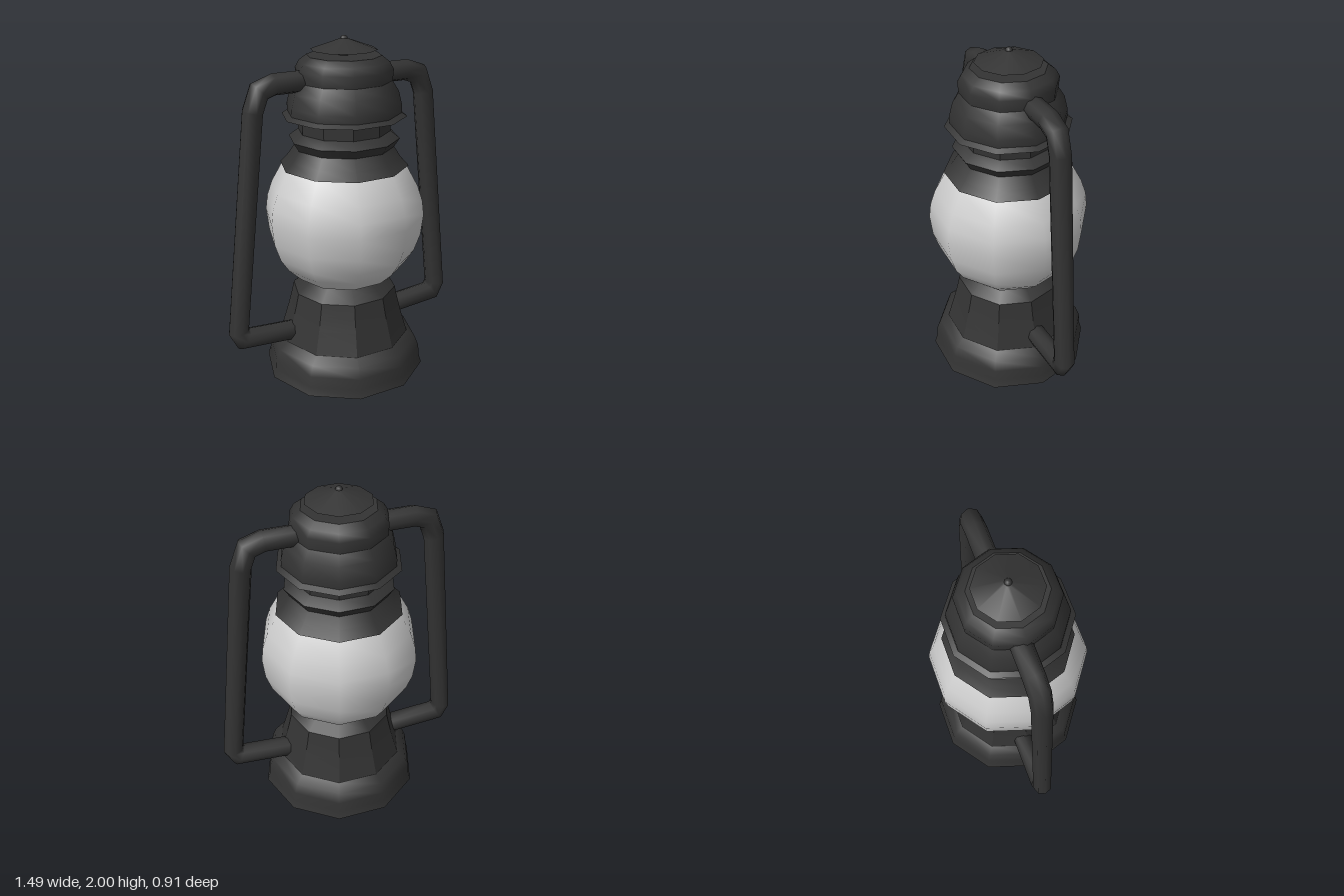
import * as THREE from 'three';
import { toCreasedNormals } from 'three/addons/utils/BufferGeometryUtils.js';

const SIDES = 10;
const metal = new THREE.MeshStandardMaterial({ color: 0x333333, side: THREE.DoubleSide });
const glass = new THREE.MeshStandardMaterial({ color: 0xcccccc, side: THREE.DoubleSide });

// Ten-sided turned surface from [radius, y] points listed bottom to top
function turned(name, points, { material = metal, faceted = false } = {}) {
  const profile = points.map(([r, y]) => new THREE.Vector2(r, y));
  let geometry = new THREE.LatheGeometry(profile, SIDES, Math.PI / 2);
  if (faceted) geometry = toCreasedNormals(geometry, 0.5);
  const mesh = new THREE.Mesh(geometry, material);
  mesh.name = name;
  return mesh;
}

// Straight-segment tube with mitred joints, lying in the xy plane
function mitredTube(path, radius, sides) {
  const pts = path.map(([x, y]) => new THREE.Vector2(x, y));
  const positions = [], index = [];
  pts.forEach((p, i) => {
    const before = pts[Math.max(i - 1, 0)], after = pts[Math.min(i + 1, pts.length - 1)];
    const a = (i ? p.clone().sub(before) : after.clone().sub(p)).normalize();
    const b = (i < pts.length - 1 ? after.clone().sub(p) : a.clone()).normalize();
    const t = a.clone().add(b).normalize();
    const stretch = radius / t.dot(a);
    for (let j = 0; j < sides; j++) {
      const angle = (j / sides) * Math.PI * 2;
      const u = Math.cos(angle) * stretch;
      positions.push(p.x - t.y * u, p.y + t.x * u, Math.sin(angle) * radius);
      if (i) {
        const k = (j + 1) % sides, lo = (i - 1) * sides, hi = i * sides;
        index.push(lo + j, lo + k, hi + j, lo + k, hi + k, hi + j);
      }
    }
  });
  const geometry = new THREE.BufferGeometry();
  geometry.setAttribute('position', new THREE.Float32BufferAttribute(positions, 3));
  geometry.setIndex(index);
  geometry.computeVertexNormals();
  return geometry;
}

export function createModel() {
  const lantern = new THREE.Group();
  lantern.name = 'lantern';

  // Fuel base: flat floor, rounded foot, faceted tapering tank, bevelled shoulder
  const base = new THREE.Group();
  base.name = 'base';
  base.add(
    turned('floor', [[0, 0], [0.48, 0]]),
    turned('foot', [[0.48, 0], [0.465, 0.05], [0.46, 0.115], [0.437, 0.175], [0.385, 0.215]]),
    turned('tank', [[0.385, 0.215], [0.345, 0.35], [0.322, 0.44], [0.307, 0.51]], { faceted: true }),
    turned('shoulder', [[0.307, 0.51], [0.228, 0.575]]),
    turned('shoulderTop', [[0.228, 0.575], [0, 0.575]])
  );

  // Glass globe
  const globe = turned('globe', [
    [0.225, 0.572], [0.285, 0.6], [0.365, 0.675], [0.415, 0.75], [0.45, 0.85],
    [0.465, 0.975], [0.455, 1.06], [0.425, 1.15], [0.36, 1.27], [0.28, 1.35]
  ], { material: glass });

  // Collar holding the globe
  const collar = new THREE.Group();
  collar.name = 'collar';
  collar.add(
    turned('collarUnderside', [[0.33, 1.275], [0.37, 1.272]]),
    turned('collarSkirt', [[0.37, 1.272], [0.325, 1.32], [0.285, 1.38]]),
    turned('collarFlare', [[0.285, 1.38], [0.317, 1.43]]),
    turned('collarRim', [[0.317, 1.43], [0.265, 1.47], [0.24, 1.475]])
  );

  // Recessed neck between collar and hood
  const neck = turned('neck', [[0.262, 1.45], [0.262, 1.57]], { faceted: true });

  // Stepped hood
  const hood = new THREE.Group();
  hood.name = 'hood';
  hood.add(
    turned('hoodUnderside', [[0.24, 1.55], [0.355, 1.558]]),
    turned('hoodBrim', [[0.355, 1.558], [0.325, 1.578]]),
    turned('hoodDome', [[0.325, 1.578], [0.325, 1.62], [0.305, 1.7], [0.27, 1.755]]),
    turned('hoodCrown', [[0.27, 1.755], [0.275, 1.82], [0.252, 1.86], [0.21, 1.893]]),
    turned('hoodTop', [[0.21, 1.893], [0, 1.893]])
  );

  // Small rain cap on a post, finished with a knob
  const cap = new THREE.Group();
  cap.name = 'rainCap';
  const knob = new THREE.Mesh(new THREE.SphereGeometry(0.021, 10, 8), metal);
  knob.name = 'knob';
  knob.position.y = 1.979;
  cap.add(
    turned('post', [[0.034, 1.885], [0.034, 1.935]]),
    turned('capUnderside', [[0, 1.925], [0.187, 1.923]]),
    turned('capCone', [[0.187, 1.923], [0.02, 1.982], [0, 1.985]]),
    knob
  );

  // Side frame tubes, mirrored left and right
  const tube = mitredTube([
    [0.2, 1.767], [0.42, 1.767], [0.505, 1.738], [0.546, 1.63],
    [0.683, 0.36], [0.653, 0.302], [0.28, 0.275]
  ], 0.06, 8);
  const frame = new THREE.Group();
  frame.name = 'sideFrame';
  for (const [name, turn] of [['leftFrameTube', 0], ['rightFrameTube', Math.PI]]) {
    const mesh = new THREE.Mesh(tube, metal);
    mesh.name = name;
    mesh.rotation.y = turn;
    frame.add(mesh);
  }
  frame.position.z = -0.02;

  lantern.add(base, globe, collar, neck, hood, cap, frame);
  return lantern;
}
